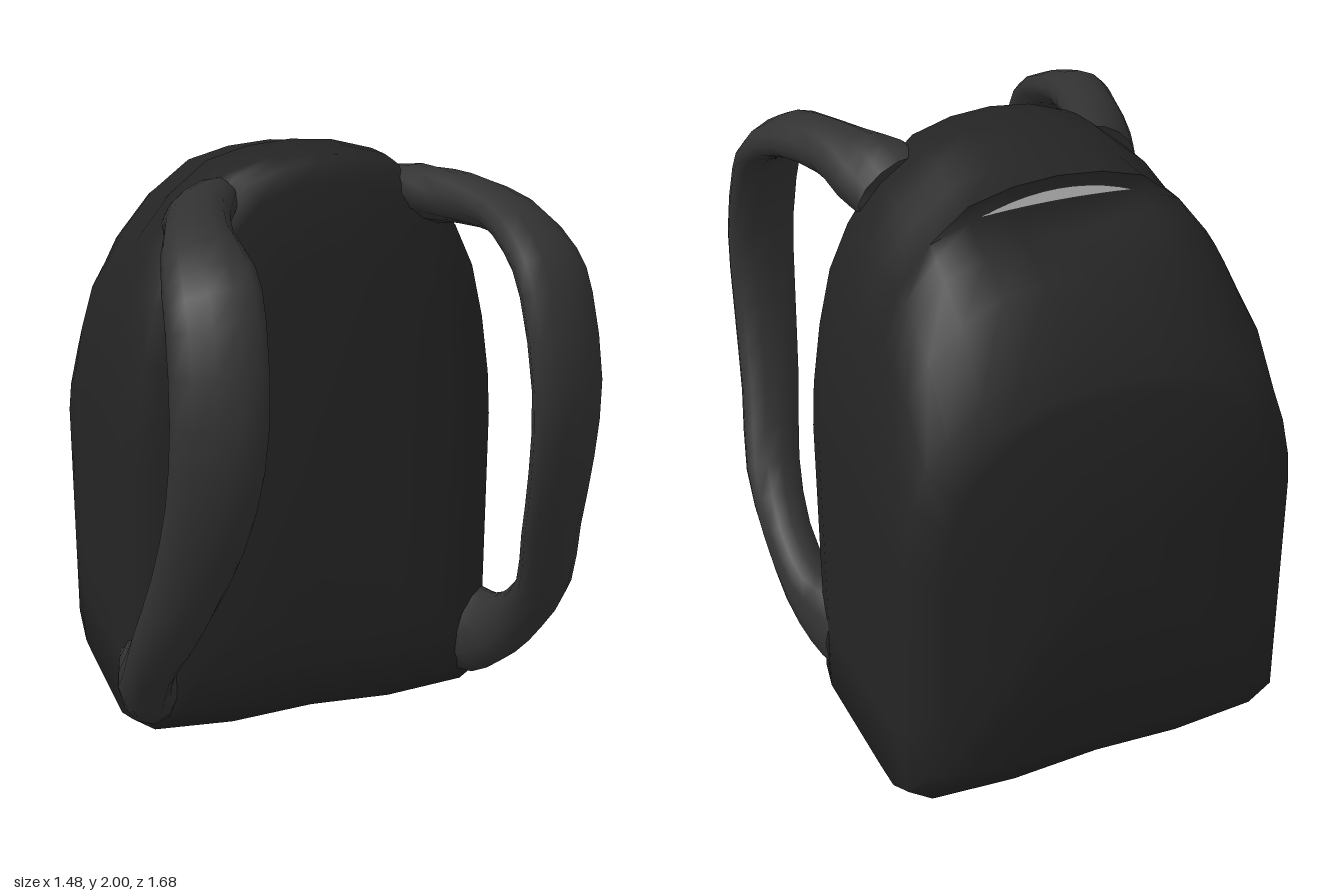
import * as THREE from 'three';
import { toCreasedNormals } from 'three/addons/utils/BufferGeometryUtils.js';

const fabric = new THREE.MeshStandardMaterial({ color: 0x242424 });
const webbing = new THREE.MeshStandardMaterial({ color: 0x323232 });
const lining = new THREE.MeshStandardMaterial({ color: 0xcccccc, side: THREE.DoubleSide });

// Skin a list of closed rings (counter-clockwise along the direction of travel) and cap both ends
function loft(rings) {
  const n = rings[0].length, pos = [], idx = [];
  rings.forEach(r => r.forEach(p => pos.push(p.x, p.y, p.z)));
  for (let i = 0; i < rings.length - 1; i++) {
    for (let j = 0; j < n; j++) {
      const k = (j + 1) % n, a = i * n + j, b = i * n + k;
      idx.push(a, b, b + n, a, b + n, a + n);
    }
  }
  [0, rings.length - 1].forEach((i, end) => {
    const c = new THREE.Vector3();
    rings[i].forEach(p => c.addScaledVector(p, 1 / n));
    const ci = pos.length / 3;
    pos.push(c.x, c.y, c.z);
    for (let j = 0; j < n; j++) {
      const a = i * n + j, b = i * n + (j + 1) % n;
      if (end) idx.push(ci, a, b); else idx.push(ci, b, a);
    }
  });
  const g = new THREE.BufferGeometry();
  g.setAttribute('position', new THREE.Float32BufferAttribute(pos, 3));
  g.setIndex(idx);
  return toCreasedNormals(g, 1.2);
}

// Arched cross-section: half width w, bottom b, top t, shoulder drop k, dip of the crown
function archRing(z, w, b, t, k, dip) {
  const crown = [
    [1, 0.95], [0.985, 0.8], [0.94, 0.6], [0.875, 0.42], [0.775, 0.28],
    [0.62, 0.15], [0.43, 0.05], [0.22, 0.012], [0, 0],
  ].map(([x, drop]) => [x, t - drop * k - dip * Math.max(0, 1 - (x / 0.62) ** 2)]);
  const half = [[0.45, b - 0.005], [0.88, b + 0.015], [1, b + 0.07], [1, b + 0.3], ...crown]
    .map(([x, y]) => new THREE.Vector3(x * w, y, z));
  const mirrored = half.slice(0, -1).map(p => new THREE.Vector3(-p.x, p.y, z)).reverse();
  return [new THREE.Vector3(0, b + 0.01, z), ...half, ...mirrored];
}

// Bag body, from back to front: z, half width, bottom, top, shoulder drop, crown dip
function makeBody() {
  const sections = [
    [-0.84, 0.55, 0.2, 1.43, 0.55, 0],
    [-0.825, 0.58, 0.16, 1.47, 0.58, 0],
    [-0.77, 0.65, 0.08, 1.55, 0.63, 0],
    [-0.65, 0.655, 0.015, 1.77, 0.8, 0.03],
    [-0.54, 0.655, 0.01, 1.88, 0.9, 0.09],
    [-0.48, 0.655, 0.01, 1.925, 0.94, 0.13],
    [-0.427, 0.655, 0.01, 1.95, 0.95, 0.1],
    [-0.424, 0.655, 0.01, 1.95, 0.95, 0],
    [-0.28, 0.655, 0.01, 1.955, 0.95, 0],
    [-0.21, 0.655, 0.01, 1.995, 1, 0],
    [-0.09, 0.655, 0.01, 2, 1, 0],
    [0.0, 0.64, 0.03, 2, 1, 0],
    [0.05, 0.6, 0.08, 2, 1.02, 0],
    [0.08, 0.55, 0.13, 1.98, 1.02, 0],
    [0.102, 0.47, 0.26, 1.92, 1, 0],
    [0.122, 0.28, 0.45, 1.7, 0.7, 0],
  ];
  return new THREE.Mesh(loft(sections.map(s => archRing(...s))), fabric);
}

// Shoulder strap, top to bottom: centre line, half width, half thickness, twist
function makeStrap(side) {
  const stations = [
    [0.36, 1.83, -0.04, 0.13, 0.07, 0.65], [0.38, 1.848, 0.06, 0.135, 0.085, 0.5],
    [0.43, 1.865, 0.22, 0.105, 0.08, 0.25], [0.49, 1.855, 0.42, 0.11, 0.067, 0.2],
    [0.51, 1.79, 0.6, 0.138, 0.062, 0.32], [0.52, 1.68, 0.7, 0.142, 0.058, 0.36],
    [0.535, 1.42, 0.77, 0.14, 0.056, 0.36], [0.553, 1.15, 0.725, 0.13, 0.058, 0.36],
    [0.588, 0.88, 0.61, 0.115, 0.062, 0.32], [0.637, 0.64, 0.48, 0.1, 0.072, 0.2],
    [0.65, 0.46, 0.32, 0.085, 0.085, 0], [0.63, 0.32, 0.16, 0.09, 0.115, 0],
    [0.58, 0.26, 0.02, 0.11, 0.165, 0], [0.57, 0.25, -0.08, 0.095, 0.15, 0],
  ];
  const curve = from => new THREE.CatmullRomCurve3(
    stations.map(s => new THREE.Vector3(...s.slice(from, from + 3))), false, 'catmullrom');
  const path = curve(0), size = curve(3);
  const rings = [], steps = 26, sides = 12;
  for (let i = 0; i <= steps; i++) {
    const p = path.getPoint(i / steps), tan = path.getTangent(i / steps), d = size.getPoint(i / steps);
    const normal = new THREE.Vector3(0, tan.z, -tan.y).normalize();
    const ring = [];
    for (let j = 0; j < sides; j++) {
      const a = side * 2 * Math.PI * j / sides;
      const u = d.x * Math.cos(a), v = d.y * Math.sin(a), c = Math.cos(d.z), s = Math.sin(d.z);
      const q = p.clone().addScaledVector(normal, v * c - u * s);
      q.x = side * (q.x + u * c + v * s);
      ring.push(q);
    }
    rings.push(ring);
  }
  return new THREE.Mesh(loft(rings), webbing);
}

// Pale crescent under the rear edge of the lid
function makeOpening() {
  const s = new THREE.Shape();
  s.moveTo(-0.25, 1.865);
  s.quadraticCurveTo(0, 1.96, 0.25, 1.865);
  s.quadraticCurveTo(0, 1.885, -0.25, 1.865);
  const m = new THREE.Mesh(new THREE.ShapeGeometry(s, 10), lining);
  m.position.z = -0.43;
  return m;
}

export function createModel() {
  const model = new THREE.Group();
  model.name = 'backpack';
  const add = (name, mesh) => { mesh.name = name; model.add(mesh); };
  add('body', makeBody());
  add('lidOpening', makeOpening());
  add('leftShoulderStrap', makeStrap(1));
  add('rightShoulderStrap', makeStrap(-1));
  return model;
}
